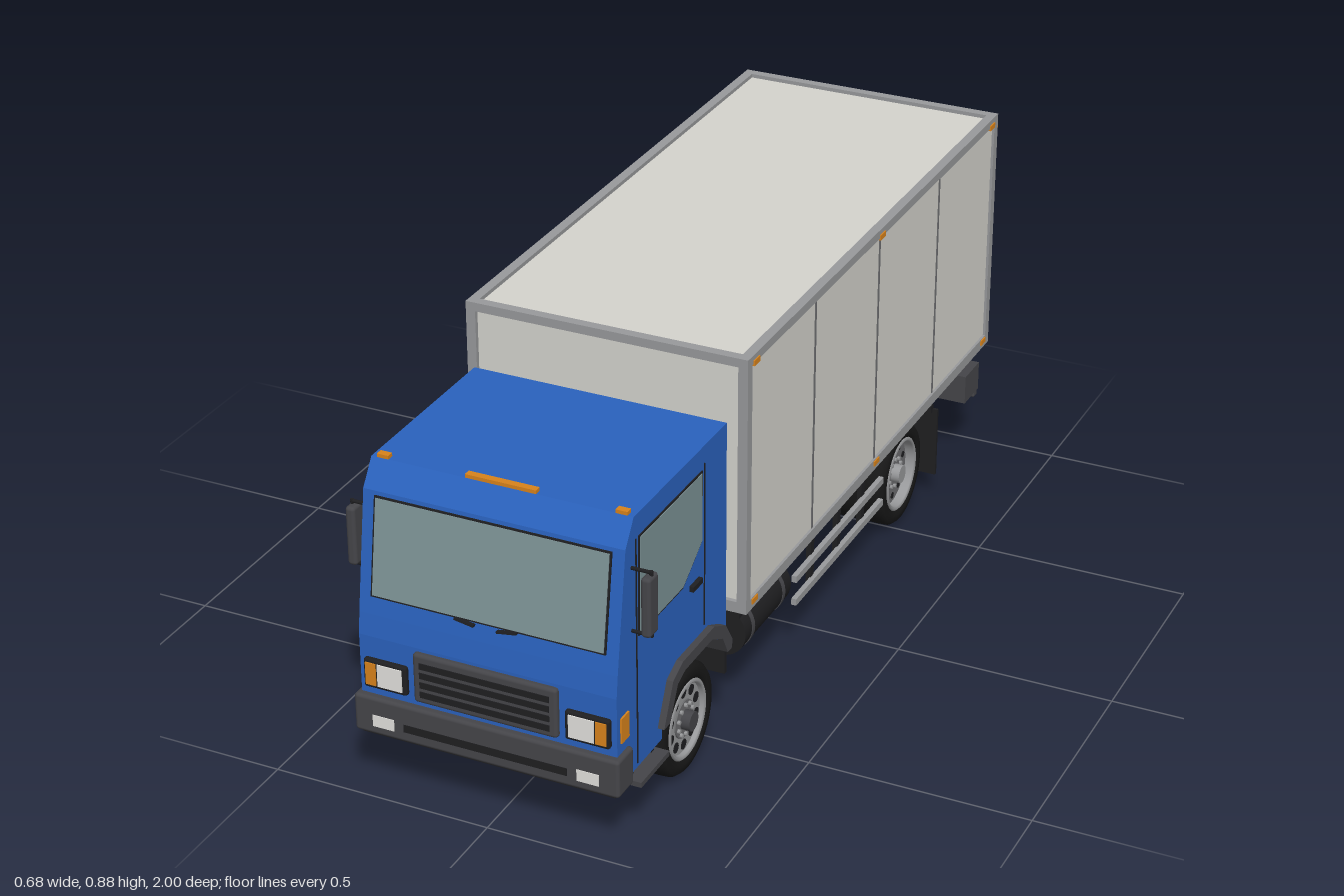
import * as THREE from 'three';
import { RoundedBoxGeometry } from 'three/addons/geometries/RoundedBoxGeometry.js';

const material = (name, color) => Object.assign(new THREE.MeshStandardMaterial({ color }), { name });

export function createModel() {
  const blue = material('cab blue', 0x2a62bd);
  const panel = material('cargo panel', 0xd4d3cd);
  const metal = material('frame grey', 0x98999b);
  const plastic = material('dark plastic', 0x454549);
  const black = material('chassis black', 0x1f1f21);
  const rubber = material('tyre rubber', 0x171717);
  const glass = material('glass', 0x7c9295);
  const orange = material('amber lamp', 0xd8831c);
  const white = material('white lamp', 0xe2e1dd);
  const shadow = material('seam grey', 0x6c6d6f);

  const truck = new THREE.Group();
  truck.name = 'boxTruck';
  const group = (name) => {
    const g = new THREE.Group();
    g.name = name;
    truck.add(g);
    return g;
  };
  const add = (parent, name, geometry, mat, x = 0, y = 0, z = 0) => {
    const m = new THREE.Mesh(geometry, mat);
    m.name = name;
    m.position.set(x, y, z);
    parent.add(m);
    return m;
  };
  const box = (p, name, mat, w, h, d, x, y, z) => add(p, name, new THREE.BoxGeometry(w, h, d), mat, x, y, z);
  const rounded = (p, name, mat, w, h, d, r, x, y, z) =>
    add(p, name, new RoundedBoxGeometry(w, h, d, 2, r), mat, x, y, z);
  // Cylinder lying along x or z
  const rod = (p, name, mat, r, len, axis, x, y, z, seg = 24) => {
    const g = new THREE.CylinderGeometry(r, r, len, seg);
    if (axis === 'x') g.rotateZ(-Math.PI / 2);
    if (axis === 'z') g.rotateX(Math.PI / 2);
    return add(p, name, g, mat, x, y, z);
  };
  // Side outline in (z, y), extruded inward from x
  const sidePlate = (p, name, mat, pts, x, depth) => {
    const g = new THREE.ExtrudeGeometry(new THREE.Shape(pts.map(([z, y]) => new THREE.Vector2(z, y))),
      { depth, bevelEnabled: false });
    g.rotateY(-Math.PI / 2);
    return add(p, name, g, mat, x);
  };
  const sides = [1, -1];
  const onSide = (s, x, depth) => (s > 0 ? x : -x + depth);

  // Cab shell with wheel arches
  const cab = group('cab');
  sidePlate(cab, 'cabShell', blue, [[0.47, 0.225], [0.495, 0.225], [0.52, 0.27], [0.57, 0.3], [0.7, 0.3],
    [0.74, 0.285], [0.78, 0.215], [0.78, 0.168], [0.983, 0.168], [0.983, 0.38], [0.977, 0.43], [0.937, 0.695],
    [0.9, 0.75], [0.47, 0.75]], 0.292, 0.584);
  box(cab, 'cabFloor', blue, 0.4, 0.13, 0.33, 0, 0.245, 0.635);

  // Windscreen and wipers follow the sloped front
  const slope = Math.atan2(0.04, 0.265);
  const screen = new THREE.Group();
  screen.name = 'windscreen';
  screen.position.set(0, 0.578, 0.9555);
  screen.rotation.x = -slope;
  cab.add(screen);
  box(screen, 'windscreenSeal', black, 0.53, 0.219, 0.006, 0, 0, 0);
  box(screen, 'windscreenGlass', glass, 0.522, 0.211, 0.008, 0, 0, 0.001);
  for (const s of sides) {
    const w = box(screen, 'wiper', black, 0.045, 0.005, 0.01, s * 0.048, -0.112, 0.006);
    w.rotation.z = s * 0.15;
  }

  // Grille
  rounded(cab, 'grilleFrame', plastic, 0.328, 0.116, 0.022, 0.008, 0, 0.315, 0.984);
  for (let i = 0; i < 4; i++) box(cab, 'grilleSlot', black, 0.295, 0.014, 0.004, 0, 0.28 + i * 0.0225, 0.995);

  // Bumper
  rounded(cab, 'bumper', plastic, 0.606, 0.088, 0.07, 0.008, 0, 0.2, 0.965);
  box(cab, 'bumperLip', black, 0.58, 0.012, 0.055, 0, 0.156, 0.962);
  box(cab, 'bumperSlot', black, 0.374, 0.018, 0.004, 0, 0.19, 0.999);

  // Roof marker lamps
  box(cab, 'roofLamp', orange, 0.158, 0.008, 0.016, 0, 0.754, 0.892);

  for (const s of sides) {
    box(cab, 'roofMarker', orange, 0.026, 0.008, 0.016, s * 0.266, 0.754, 0.892);
    rounded(cab, 'headlampBezel', black, 0.1, 0.068, 0.02, 0.006, s * 0.23, 0.297, 0.984);
    box(cab, 'headlamp', white, 0.057, 0.052, 0.005, s * 0.218, 0.298, 0.994);
    box(cab, 'turnSignal', orange, 0.024, 0.052, 0.005, s * 0.262, 0.298, 0.994);
    box(cab, 'fogLamp', white, 0.05, 0.027, 0.004, s * 0.234, 0.19, 0.9995);
    box(cab, 'sideMarker', orange, 0.006, 0.058, 0.034, s * 0.293, 0.298, 0.952);

    // Door window, seams and handle
    const win = [[0.685, 0.478], [0.882, 0.478], [0.878, 0.695], [0.595, 0.695], [0.595, 0.54]];
    sidePlate(cab, 'windowSeal', black, win.map(([z, y]) => [0.739 + (z - 0.739) * 1.03, 0.586 + (y - 0.586) * 1.04]),
      onSide(s, 0.2945, 0.004), 0.004);
    sidePlate(cab, 'doorWindow', glass, win, onSide(s, 0.296, 0.005), 0.005);
    box(cab, 'doorSeam', black, 0.003, 0.52, 0.004, s * 0.292, 0.438, 0.893);
    box(cab, 'doorSeam', black, 0.003, 0.38, 0.004, s * 0.292, 0.52, 0.578);
    box(cab, 'doorHandle', black, 0.012, 0.012, 0.045, s * 0.296, 0.453, 0.627);

    // Fender trim around the arch
    sidePlate(cab, 'fenderTrim', plastic, [[0.47, 0.218], [0.492, 0.218], [0.517, 0.265], [0.57, 0.292], [0.7, 0.292],
      [0.735, 0.278], [0.772, 0.205], [0.8, 0.205], [0.757, 0.297], [0.71, 0.318], [0.56, 0.318], [0.503, 0.29],
      [0.47, 0.24]], onSide(s, 0.307, 0.1), 0.1);
    box(cab, 'frontMudflap', black, 0.09, 0.09, 0.01, s * 0.25, 0.2, 0.477);

    // Entry step
    box(cab, 'step', plastic, 0.07, 0.012, 0.13, s * 0.275, 0.14, 0.848);
    for (const z of [0.8, 0.895]) box(cab, 'stepBracket', black, 0.02, 0.04, 0.012, s * 0.27, 0.16, z);

    // Mirror
    rounded(cab, 'mirror', plastic, 0.022, 0.135, 0.042, 0.008, s * 0.331, 0.57, 0.912);
    for (const y of [0.643, 0.5]) rod(cab, 'mirrorArm', black, 0.004, 0.05, 'x', s * 0.313, y, 0.912, 10);
    rod(cab, 'mirrorPole', black, 0.004, 0.15, 'y', s * 0.335, 0.572, 0.912, 10);
  }

  // Cargo box
  const cargo = group('cargoBox');
  box(cargo, 'cargoBody', panel, 0.638, 0.578, 1.4, 0, 0.587, -0.27);
  box(cargo, 'cargoFloor', black, 0.6, 0.01, 1.38, 0, 0.283, -0.27);
  for (const s of sides) {
    const x = s * 0.314;
    for (const z of [0.429, -0.974]) box(cargo, 'cornerPost', metal, 0.022, 0.6, 0.022, x, 0.585, z);
    for (const y of [0.875, 0.298]) box(cargo, 'sideRail', metal, 0.022, y > 0.5 ? 0.02 : 0.026, 1.42, x, y, -0.2725);
    for (const z of [0.083, -0.27, -0.625]) box(cargo, 'panelSeam', shadow, 0.004, 0.555, 0.006, s * 0.319, 0.588, z);
    for (const z of [0.4, -0.27, -0.945]) {
      box(cargo, 'sideMarkerTop', orange, 0.006, 0.012, 0.028, s * 0.325, 0.867, z);
      box(cargo, 'sideMarkerBottom', orange, 0.006, 0.012, 0.028, s * 0.325, 0.303, z);
    }
    box(cargo, 'rearMarker', orange, 0.014, 0.022, 0.012, s * 0.315, 0.85, -0.988);
  }
  for (const z of [0.429, -0.974])
    for (const y of [0.875, 0.298]) box(cargo, 'crossRail', metal, 0.62, y > 0.5 ? 0.02 : 0.026, 0.022, 0, y, z);

  // Roller shutter with locking handle
  box(cargo, 'shutterBack', shadow, 0.6, 0.56, 0.006, 0, 0.587, -0.971);
  for (const s of sides) box(cargo, 'shutterGuide', metal, 0.03, 0.555, 0.016, s * 0.29, 0.587, -0.976);
  for (let i = 0; i < 18; i++) {
    const slat = box(cargo, 'shutterSlat', metal, 0.552, 0.024, 0.008, 0, 0.33 + i * 0.0305, -0.975);
    slat.rotation.x = 0.15;
  }
  box(cargo, 'pullStrap', black, 0.012, 0.155, 0.008, 0.114, 0.4, -0.986);
  box(cargo, 'lockPlate', black, 0.022, 0.06, 0.012, 0.01, 0.345, -0.984);
  box(cargo, 'lockHandle', black, 0.075, 0.014, 0.012, 0.01, 0.347, -0.992);

  // Chassis
  const chassis = group('chassis');
  for (const s of sides) {
    box(chassis, 'frameRail', black, 0.035, 0.085, 1.55, s * 0.125, 0.215, -0.18);
    box(chassis, 'frontRail', black, 0.035, 0.05, 0.4, s * 0.125, 0.175, 0.77);
    for (const z of [0.635, -0.54]) {
      box(chassis, 'leafSpring', black, 0.03, 0.016, 0.3, s * 0.125, 0.16, z);
    }
    // Side guard
    for (const y of [0.2, 0.142]) box(chassis, 'sideGuardRail', metal, 0.012, 0.016, 0.5, s * 0.3, y, -0.12);
    for (const z of [0.02, -0.13, -0.27]) {
      box(chassis, 'sideGuardPost', black, 0.012, 0.15, 0.018, s * 0.29, 0.208, z);
    }
    // Rear flap, tail lamp and bumper stay
    box(chassis, 'rearMudflap', black, 0.16, 0.175, 0.008, s * 0.232, 0.145, -0.692);
    box(chassis, 'flapBracket', black, 0.16, 0.02, 0.014, s * 0.22, 0.235, -0.685);
    box(chassis, 'tailLampHousing', plastic, 0.1, 0.072, 0.09, s * 0.26, 0.195, -0.925);
    box(chassis, 'tailLampBracket', black, 0.04, 0.05, 0.05, s * 0.25, 0.255, -0.92);
    for (const y of [0.211, 0.18]) box(chassis, 'tailLamp', orange, 0.082, 0.024, 0.006, s * 0.26, y, -0.971);
    box(chassis, 'bumperStay', black, 0.02, 0.08, 0.03, s * 0.125, 0.17, -0.955);
  }
  for (let i = 0; i < 10; i++) box(chassis, 'crossBeam', black, 0.6, 0.028, 0.022, 0, 0.272, 0.41 - i * 0.138);
  for (const z of [0.42, 0.1, -0.25, -0.72, -0.93]) box(chassis, 'crossMember', black, 0.25, 0.06, 0.025, 0, 0.215, z);
  rounded(chassis, 'rearBumper', plastic, 0.6, 0.04, 0.022, 0.004, 0, 0.15, -0.982);
  box(chassis, 'plateHolder', black, 0.1, 0.05, 0.02, 0, 0.215, -0.95);
  box(chassis, 'numberPlate', white, 0.085, 0.038, 0.005, 0, 0.212, -0.963);

  // Axles and driveline
  for (const z of [0.635, -0.54]) rod(chassis, 'axle', black, z > 0 ? 0.018 : 0.026, 0.44, 'x', 0, 0.13, z);
  add(chassis, 'differential', new THREE.SphereGeometry(0.045, 24, 16), black, 0, 0.132, -0.54);
  const shaft = rod(chassis, 'driveShaft', black, 0.014, 0.98, 'z', 0, 0.165, -0.05);
  shaft.rotation.x = -0.05;
  box(chassis, 'gearbox', black, 0.13, 0.1, 0.22, 0, 0.2, 0.5);

  // Fuel tank on the left, battery box on the right
  rod(chassis, 'fuelTank', black, 0.062, 0.24, 'z', 0.235, 0.193, 0.26, 32);
  for (const z of [0.34, 0.18]) rod(chassis, 'tankStrap', plastic, 0.064, 0.012, 'z', 0.235, 0.193, z, 32);
  rounded(chassis, 'batteryBox', plastic, 0.12, 0.105, 0.17, 0.006, -0.232, 0.195, 0.25);
  rod(chassis, 'airTank', black, 0.035, 0.13, 'z', -0.2, 0.205, 0.06);

  // Wheels, built with the axle along x
  const wheel = (name, s, x, z, front) => {
    const g = group(name);
    g.position.set(s * x, 0.126, z);
    if (s < 0) g.rotation.y = Math.PI;
    const lathe = (part, mat, pts) => add(g, part, new THREE.LatheGeometry(
      pts.map(([r, y]) => new THREE.Vector2(r, y)), 40).rotateZ(-Math.PI / 2), mat);
    lathe('tyre', rubber, [[0.085, -0.03], [0.1, -0.036], [0.117, -0.034], [0.125, -0.024], [0.126, 0],
      [0.125, 0.024], [0.117, 0.034], [0.1, 0.036], [0.085, 0.03], [0.085, -0.03]]);
    lathe('rimRing', metal, [[0.078, -0.03], [0.088, -0.03], [0.09, 0.032], [0.085, 0.036], [0.08, 0.032], [0.078, -0.03]]);
    rod(g, 'rimDisc', front ? metal : shadow, 0.08, 0.03, 'x', front ? 0.008 : -0.004, 0, 0, 40);
    const face = front ? 0.0235 : 0.0115;
    for (let i = 0; i < 10; i++) {
      const a = (i / 10) * Math.PI * 2;
      rod(g, 'rimHole', black, front ? 0.012 : 0.008, 0.002, 'x', face, Math.cos(a) * 0.063, Math.sin(a) * 0.063, 14);
      rod(g, 'wheelNut', metal, 0.005, 0.012, 'x', face + 0.003, Math.cos(a) * 0.035, Math.sin(a) * 0.035, 6);
    }
    rod(g, 'hubPlate', shadow, 0.043, 0.006, 'x', face, 0, 0, 32);
    rod(g, 'hub', front ? plastic : metal, 0.022, 0.028, 'x', face + 0.01, 0, 0, 24);
  };
  for (const s of sides) {
    wheel('frontWheel', s, 0.248, 0.635, true);
    wheel('rearOuterWheel', s, 0.25, -0.54, false);
    wheel('rearInnerWheel', s, 0.181, -0.54, false);
  }
  return truck;
}
